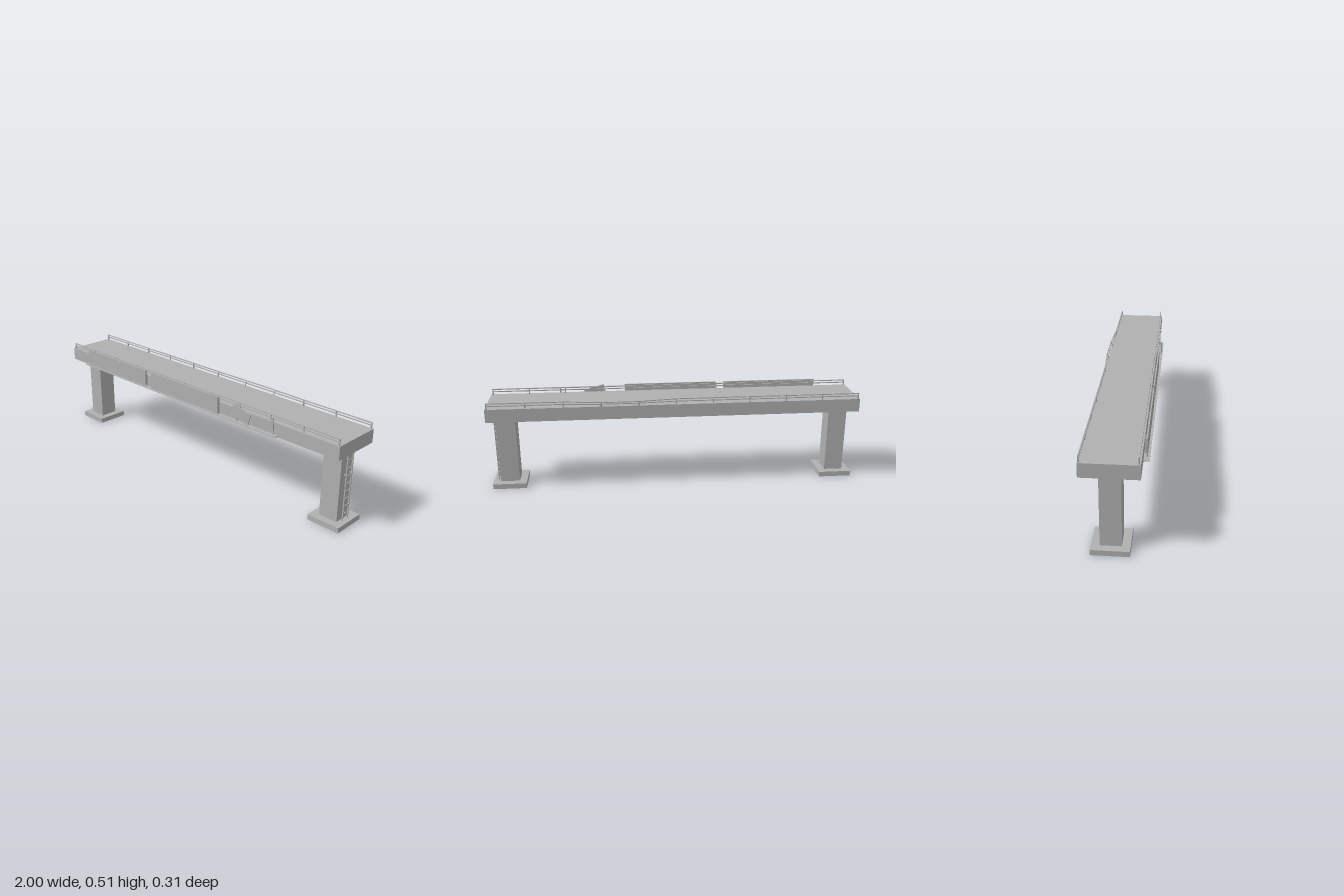
import * as THREE from 'three';

export function createModel() {
  const model = new THREE.Group();
  model.name = 'elevatedWalkway';
  const concrete = new THREE.MeshStandardMaterial({ color: 0xb0b0b0 });
  concrete.name = 'concreteGrey';

  function group(name) {
    const g = new THREE.Group();
    g.name = name;
    model.add(g);
    return g;
  }
  // box given by its extents on each axis
  function box(parent, name, [x0, x1], [y0, y1], [z0, z1]) {
    const m = new THREE.Mesh(new THREE.BoxGeometry(x1 - x0, y1 - y0, z1 - z0), concrete);
    m.position.set((x0 + x1) / 2, (y0 + y1) / 2, (z0 + z1) / 2);
    m.name = name;
    parent.add(m);
    return m;
  }
  // square bar running between two points
  function bar(parent, name, a, b, t) {
    const p = new THREE.Vector3(...a), q = new THREE.Vector3(...b);
    const m = new THREE.Mesh(new THREE.BoxGeometry(t, t, p.distanceTo(q)), concrete);
    m.position.copy(p).add(q).multiplyScalar(0.5);
    m.lookAt(q);
    m.name = name;
    parent.add(m);
  }

  // Deck
  box(model, 'deck', [-1, 1], [0.402, 0.473], [-0.143, 0.129]);

  // Pillars on square footings
  for (const s of [-1, 1]) {
    const g = group(s < 0 ? 'rightSupport' : 'leftSupport');
    box(g, 'footing', [s * 0.91 - 0.09, s * 0.91 + 0.09], [0, 0.028], [-0.098, 0.083]);
    box(g, 'pillar', [s * 0.91 - 0.051, s * 0.91 + 0.051], [0.028, 0.402], [-0.058, 0.043]);
  }

  // Ladder on the outer face of the left pillar
  const ladder = group('ladder');
  for (const z of [-0.029, 0.013]) {
    box(ladder, 'ladderRail', [0.971, 0.977], [0.028, 0.402], [z - 0.0025, z + 0.0025]);
    box(ladder, 'ladderBracket', [0.96, 0.973], [0.273, 0.277], [z - 0.002, z + 0.002]);
  }
  for (let i = 0; i < 9; i++) {
    const y = 0.065 + i * 0.0408;
    box(ladder, 'rung', [0.972, 0.976], [y - 0.002, y + 0.002], [-0.029, 0.013]);
  }

  // Railings; the back one is bent outward along part of its length
  const spacing = 0.198;
  function railing(name, z, bend) {
    const g = group(name);
    const points = [];
    for (let i = 0; i <= 10; i++) {
      const x = -0.99 + i * spacing, k = bend[i] || 0;
      points.push([x, k]);
      bar(g, 'post', [x, 0.472, z], [x, 0.505 - k * 0.006, z - k * 0.013], 0.006);
    }
    for (const h of [0.018, 0.031]) {
      for (let i = 0; i < 10; i++) {
        const [a, b] = [points[i], points[i + 1]].map(([x, k]) =>
          [x, 0.472 + h - k * 0.005 * h / 0.031, z - k * 0.013 * h / 0.031]);
        bar(g, 'rail', a, b, 0.005);
      }
    }
  }
  railing('frontRailing', 0.12, {});
  railing('backRailing', -0.137, { 6: 1, 7: 1 });

  // Service ledge along the front face
  const ledge = group('serviceLedge');
  box(ledge, 'ledgePlate', [-0.85, 0.652], [0.408, 0.412], [0.128, 0.157]);

  // Sign boards with their support frames
  const signs = group('signBoards');
  box(signs, 'largeBoard', [-0.82, -0.296], [0.412, 0.507], [0.14, 0.146]);
  box(signs, 'largeBoard', [-0.25, 0.265], [0.412, 0.507], [0.14, 0.146]);
  for (const x of [-0.78, -0.55, -0.3, -0.252, 0.0, 0.262, 0.388, 0.622]) {
    box(signs, 'boardPost', [x - 0.003, x + 0.003], [0.412, 0.502], [0.132, 0.138]);
    box(signs, 'boardBrace', [x - 0.003, x + 0.003], [0.494, 0.499], [0.129, 0.145]);
  }
  box(signs, 'boardRail', [0.262, 0.652], [0.495, 0.5], [0.133, 0.138]);

  // Small board hanging crooked
  const loose = box(signs, 'crookedBoard', [0.373, 0.487], [0.43, 0.493], [0.148, 0.153]);
  loose.rotation.z = -0.26;

  return model;
}
